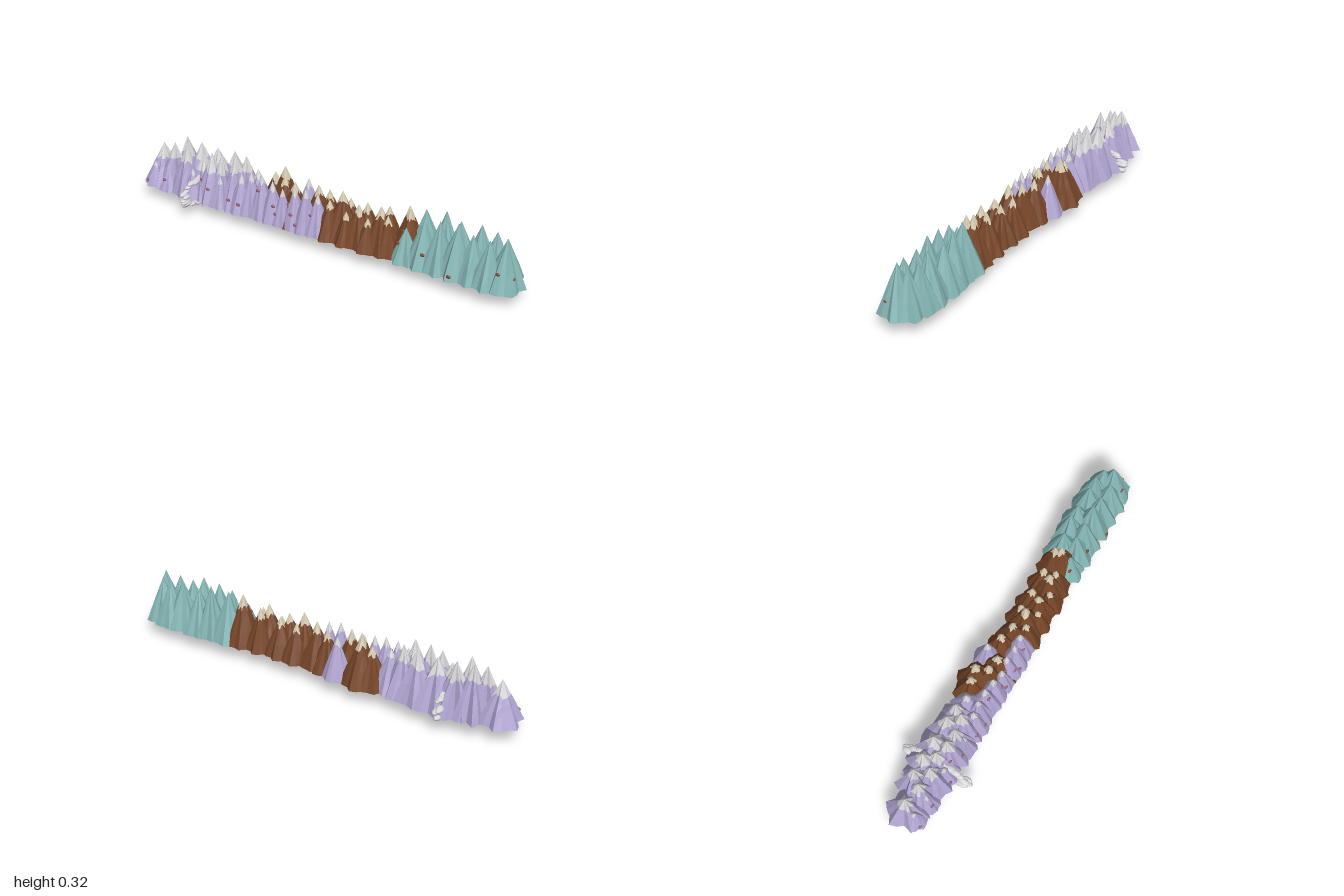
import * as THREE from 'three';

const mat = (name, color, flat = true) => {
  const m = new THREE.MeshStandardMaterial({ color, flatShading: flat });
  m.name = name;
  return m;
};

const BASE = 0.066;

function seeded(seed) {
  let s = seed * 7919 + 17;
  return () => (s = (s * 16807) % 2147483647) / 2147483647;
}

// Ridged cone built from rings; group 0 is the slope, group 1 the jagged cap
function ridgedCone({ r, rz = r, y0, y1, capAt, ridge, seed, sides = 18 }) {
  const rnd = seeded(seed + 1);
  const levels = [0, 0.35, capAt * 0.8, capAt, (1 + capAt) / 2, 1];
  const folds = [], jag = [];
  for (let j = 0; j < sides; j++) {
    const valley = j % 3 === 1 ? 1 : j % 3 === 2 ? 0.45 : 0;
    folds.push(1 - ridge * valley * (0.5 + rnd() * 0.7) - 0.04 * rnd());
    jag.push((rnd() - 0.5) * 0.13);
  }
  const pos = [], index = [];
  levels.forEach((t, i) => {
    for (let j = 0; j < sides; j++) {
      const a = (j / sides) * Math.PI * 2 + seed * 0.37;
      const tt = i === 3 ? t + jag[j] : i === 2 ? t + Math.min(0, jag[j]) : t;
      const k = (1 - tt) * folds[j] * (i === 0 || i === 5 ? 1 : 1 + 0.07 * (rnd() - 0.3));
      pos.push(Math.cos(a) * r * k, y0 + (y1 - y0) * tt, Math.sin(a) * rz * k);
    }
  });
  const quadRow = (i) => {
    for (let j = 0; j < sides; j++) {
      const a = i * sides + j, b = i * sides + ((j + 1) % sides);
      index.push(a, a + sides, b, b, a + sides, b + sides);
    }
  };
  [0, 1, 2].forEach(quadRow);
  const foot = pos.length / 3;
  pos.push(0, y0, 0);
  for (let j = 0; j < sides; j++) index.push(foot, j, (j + 1) % sides);
  const split = index.length;
  [3, 4].forEach(quadRow);
  const g = new THREE.BufferGeometry();
  g.setAttribute('position', new THREE.Float32BufferAttribute(pos, 3));
  // an upside-down cone needs its corners turned round
  if (y1 < y0) for (let i = 0; i < index.length; i += 3) [index[i], index[i + 1]] = [index[i + 1], index[i]];
  g.setIndex(index);
  g.addGroup(0, split, 0);
  g.addGroup(split, index.length - split, 1);
  g.computeVertexNormals();
  return g;
}

// Peaks as [x, z, top, radius]
const RANGES = {
  snowyMountain: {
    capAt: 0.66, ridge: 0.32, list: [
      [-0.89, -0.02, 0.265, 0.108], [-0.81, 0.0, 0.295, 0.1], [-0.77, -0.045, 0.318, 0.105],
      [-0.73, 0.01, 0.315, 0.1], [-0.69, -0.05, 0.305, 0.115], [-0.6, -0.05, 0.3, 0.12],
      [-0.59, 0.01, 0.3, 0.1], [-0.53, 0.015, 0.31, 0.095], [-0.5, -0.045, 0.312, 0.11],
      [-0.46, 0.005, 0.32, 0.1], [-0.43, -0.04, 0.305, 0.1], [-0.65, -0.01, 0.27, 0.11],
    ],
  },
  lavenderPeak: {
    capAt: 0.78, ridge: 0.15, list: [
      [-0.41, 0.035, 0.25, 0.075], [-0.36, 0.03, 0.272, 0.075], [-0.3, 0.03, 0.275, 0.075],
      [-0.24, 0.035, 0.262, 0.07], [-0.18, 0.045, 0.245, 0.06], [-0.12, 0.035, 0.262, 0.07],
      [-0.06, 0.04, 0.275, 0.07], [0.0, 0.035, 0.265, 0.07], [-0.36, -0.03, 0.26, 0.09],
      [-0.11, -0.07, 0.265, 0.075], [-0.82, 0.04, 0.2, 0.06], [-0.68, 0.045, 0.21, 0.06],
      [-0.91, 0.03, 0.18, 0.06], [-0.52, 0.05, 0.21, 0.06],
    ],
  },
  brownPeak: {
    capAt: 0.76, ridge: 0.2, list: [
      [-0.23, -0.06, 0.3, 0.1], [-0.28, -0.055, 0.26, 0.09], [-0.2, -0.01, 0.285, 0.09],
      [-0.14, 0.0, 0.27, 0.1], [-0.04, -0.04, 0.265, 0.085], [0.03, -0.02, 0.27, 0.09],
      [0.06, 0.03, 0.25, 0.08], [0.11, 0.0, 0.295, 0.1], [0.13, -0.035, 0.25, 0.08],
      [0.15, 0.04, 0.22, 0.07], [0.2, 0.015, 0.26, 0.09], [0.22, -0.03, 0.255, 0.085],
      [0.26, 0.04, 0.22, 0.07], [0.31, 0.01, 0.28, 0.095], [0.33, -0.03, 0.27, 0.085],
      [0.35, 0.02, 0.25, 0.075], [0.43, -0.03, 0.3, 0.09], [0.445, -0.005, 0.3, 0.095],
    ],
  },
  tealPeak: {
    capAt: 0.8, ridge: 0.24, list: [
      [0.45, 0.04, 0.23, 0.075], [0.51, -0.03, 0.305, 0.1], [0.53, 0.025, 0.285, 0.09],
      [0.6, -0.045, 0.315, 0.09], [0.605, 0.025, 0.3, 0.09], [0.69, 0.02, 0.312, 0.1],
      [0.67, -0.045, 0.285, 0.095], [0.76, 0.025, 0.28, 0.09], [0.77, -0.04, 0.3, 0.095],
      [0.84, -0.045, 0.285, 0.09], [0.84, 0.03, 0.28, 0.09], [0.91, 0.01, 0.298, 0.098],
      [0.895, -0.03, 0.275, 0.092],
    ],
  },
};

export function createModel() {
  const model = new THREE.Group();
  const lavender = mat('lavender rock', 0xb3a7d3), snow = mat('snow', 0xd8d8da);
  const brown = mat('brown rock', 0x774628), cream = mat('cream cap', 0xd9ceb3);
  const teal = mat('teal rock', 0x85b6b5), olive = mat('olive rock', 0x938d74);
  const cloud = mat('cloud', 0xd6d6d9, false), mauve = mat('mauve boulder', 0x99617d, false);
  const rust = mat('rust boulder', 0x85472b, false);
  const paint = {
    snowyMountain: [lavender, snow], lavenderPeak: [lavender, snow],
    brownPeak: [brown, cream], tealPeak: [teal, teal],
  };

  // Mountains
  let seed = 1;
  for (const [name, { capAt, ridge, list }] of Object.entries(RANGES)) {
    const group = new THREE.Group();
    group.name = name + 's';
    for (const [x, z, top, r] of list) {
      const y0 = BASE - (name === 'brownPeak' && x > -0.1 ? 0.001 : 0);
      const peak = new THREE.Mesh(ridgedCone({ r, y0, y1: top, capAt, ridge, seed: seed++ }), paint[name]);
      peak.name = name;
      peak.position.set(x, 0, z);
      group.add(peak);
    }
    model.add(group);
  }

  // Hanging rock below the snowy end
  const rock = new THREE.Mesh(
    ridgedCone({ r: 0.115, rz: 0.052, y0: BASE, y1: 0, capAt: 0.7, ridge: 0.25, seed: 77 }), [olive, olive]);
  rock.name = 'hangingRock';
  rock.position.set(-0.53, 0, -0.008);
  model.add(rock);

  const ball = new THREE.SphereGeometry(1, 14, 10);
  const puff = (name, material, p, s) => {
    const m = new THREE.Mesh(ball, material);
    m.name = name;
    m.position.set(...p);
    m.scale.set(...s);
    model.add(m);
  };

  // Ring of flat clouds looping over and under the range
  const rnd = seeded(5);
  for (let i = 0; i < 34; i++) {
    const a = (i / 34) * Math.PI * 2;
    const size = 0.8 + rnd() * 0.4;
    puff('cloudPuff', cloud,
      [-0.662 + (rnd() - 0.5) * 0.022, 0.1 + Math.sin(a) * 0.06 + (rnd() - 0.5) * 0.016, -0.003 + Math.cos(a) * 0.148],
      [0.015 * size, 0.011 * size, 0.029 * size]);
  }

  // Boulders resting on the slopes, found from the cone they sit on
  const cones = Object.values(RANGES).flatMap((range) => range.list);
  const slopeZ = (x, y, side) => Math.max(...cones.map(([cx, cz, top, r]) => {
    const d = (r * 0.93 * (top - y)) / (top - BASE), q = d * d - (x - cx) ** 2;
    return d > 0 && q > 0 ? side * cz + Math.sqrt(q) : -1;
  }));
  const scatter = (name, material, spots, side) => {
    for (const [x, y] of spots) {
      puff(name, material, [x, y, side * slopeZ(x, y, side)], [0.011, 0.008, 0.006]);
    }
  };
  scatter('mauveBoulder', mauve, [[-0.93, 0.09], [-0.83, 0.12], [-0.7, 0.1], [-0.63, 0.165], [-0.58, 0.14],
    [-0.46, 0.12], [-0.4, 0.115], [-0.31, 0.2], [-0.22, 0.15], [-0.2, 0.12], [-0.15, 0.17],
    [-0.12, 0.14], [-0.09, 0.1], [-0.02, 0.16]], 1);
  scatter('rustBoulder', rust, [[0.43, 0.2], [0.42, 0.15], [0.69, 0.09], [0.55, 0.14], [0.9, 0.15]], 1);
  puff('rustBoulder', rust, [0.96, 0.132, 0.038], [0.008, 0.006, 0.009]);
  return model;
}
